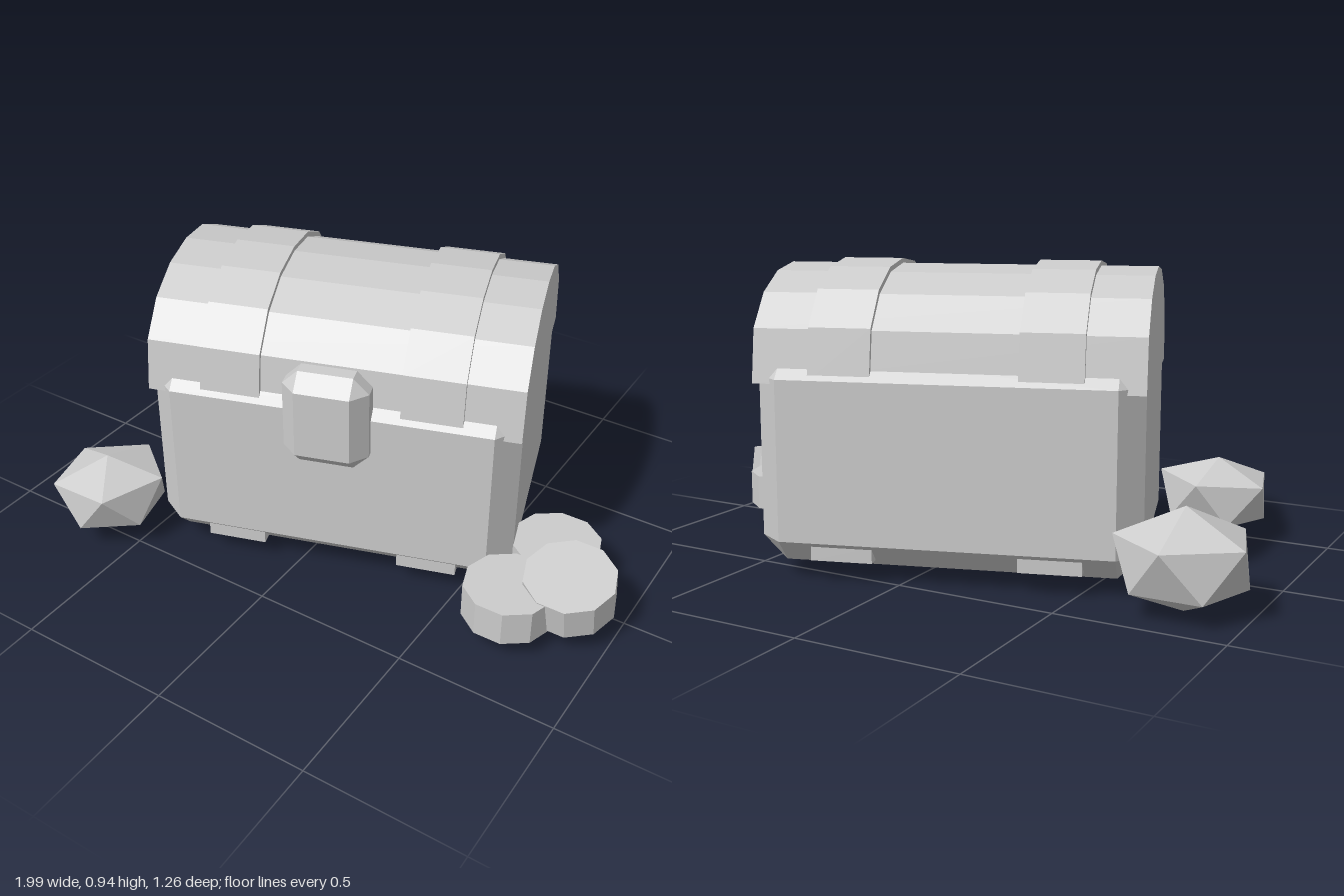
import * as THREE from 'three';
import { ConvexGeometry } from 'three/addons/geometries/ConvexGeometry.js';

const stone = new THREE.MeshStandardMaterial({ color: 0xcccccc });
stone.name = 'paleGrey';
stone.flatShading = true;

function add(parent, name, geometry, x = 0, y = 0, z = 0) {
  const mesh = new THREE.Mesh(geometry, stone);
  mesh.name = name;
  mesh.position.set(x, y, z);
  parent.add(mesh);
  return mesh;
}

// Box with every edge and corner cut off by b; half sizes w, h, d
function chamferedBox(w, h, d, b) {
  const points = [];
  for (const sx of [-1, 1]) for (const sy of [-1, 1]) for (const sz of [-1, 1]) {
    points.push(
      new THREE.Vector3(sx * w, sy * (h - b), sz * (d - b)),
      new THREE.Vector3(sx * (w - b), sy * h, sz * (d - b)),
      new THREE.Vector3(sx * (w - b), sy * (h - b), sz * d));
  }
  return new ConvexGeometry(points);
}

// Domed, mirrored profile of [depth, height] pairs, swept along x
function dome(half, width) {
  const left = half.slice(0, -1).reverse().map(([z, y]) => [-z, y]);
  const shape = new THREE.Shape([...half, ...left].map(([z, y]) => new THREE.Vector2(z, y)));
  const geometry = new THREE.ExtrudeGeometry(shape, { depth: width, bevelEnabled: false });
  return geometry.translate(0, 0, -width / 2).rotateY(Math.PI / 2);
}

// Faceted rock: two staggered rings of five between a top and a bottom point
function rock(r, bottom, low, high, top) {
  const points = [new THREE.Vector3(0, bottom, 0), new THREE.Vector3(0, top, 0)];
  for (let i = 0; i < 5; i++) {
    const a = (i * 2 * Math.PI) / 5;
    points.push(
      new THREE.Vector3(-Math.sin(a) * r, high, -Math.cos(a) * r),
      new THREE.Vector3(Math.sin(a) * r * 0.89, low, Math.cos(a) * r * 0.89));
  }
  return new ConvexGeometry(points);
}

export function createModel() {
  const model = new THREE.Group();
  model.name = 'treasureChestScene';

  // Chest, turned slightly
  const chest = new THREE.Group();
  chest.name = 'chest';
  chest.position.set(-0.013, 0, -0.096);
  chest.rotation.y = 0.312;
  model.add(chest);

  add(chest, 'chestBody', chamferedBox(0.572, 0.316, 0.403, 0.073), 0, 0.363, 0);
  add(chest, 'lid', dome(
    [[0.381, 0.59], [0.355, 0.75], [0.265, 0.848], [0.142, 0.904], [0, 0.922]], 1.151));

  // Bands over the lid, with their ends showing under the body
  for (const x of [-0.31, 0.31]) {
    add(chest, 'lidBand', dome(
      [[0.392, 0.6], [0.367, 0.757], [0.274, 0.861], [0.147, 0.919], [0, 0.937]], 0.187), x);
    add(chest, 'bandFoot', new THREE.BoxGeometry(0.187, 0.05, 0.78), x, 0.09, 0);
  }

  add(chest, 'lock', chamferedBox(0.132, 0.157, 0.07, 0.048), 0, 0.6, 0.4);

  // Coins, the last leaning on the other two
  const coins = [[0.735, 0.12, -0.048, 0], [0.705, 0.12, 0.21, 0], [0.853, 0.15, 0.103, 0.19]];
  for (const [x, y, z, tilt] of coins) {
    const geometry = new THREE.CylinderGeometry(0.142, 0.142, 0.112, 10).rotateY(Math.PI / 2);
    add(model, 'coin', geometry, x, y, z).rotation.x = tilt;
  }

  // Rocks
  add(model, 'backRock', rock(0.201, -0.15, -0.078, 0.062, 0.15), -0.808, 0.152, -0.303);
  const front = add(model, 'frontRock', rock(0.186, -0.128, -0.06, 0.068, 0.13), -0.63, 0.143, 0.462);
  front.rotation.set(0, -0.04, 0.07);

  return model;
}
